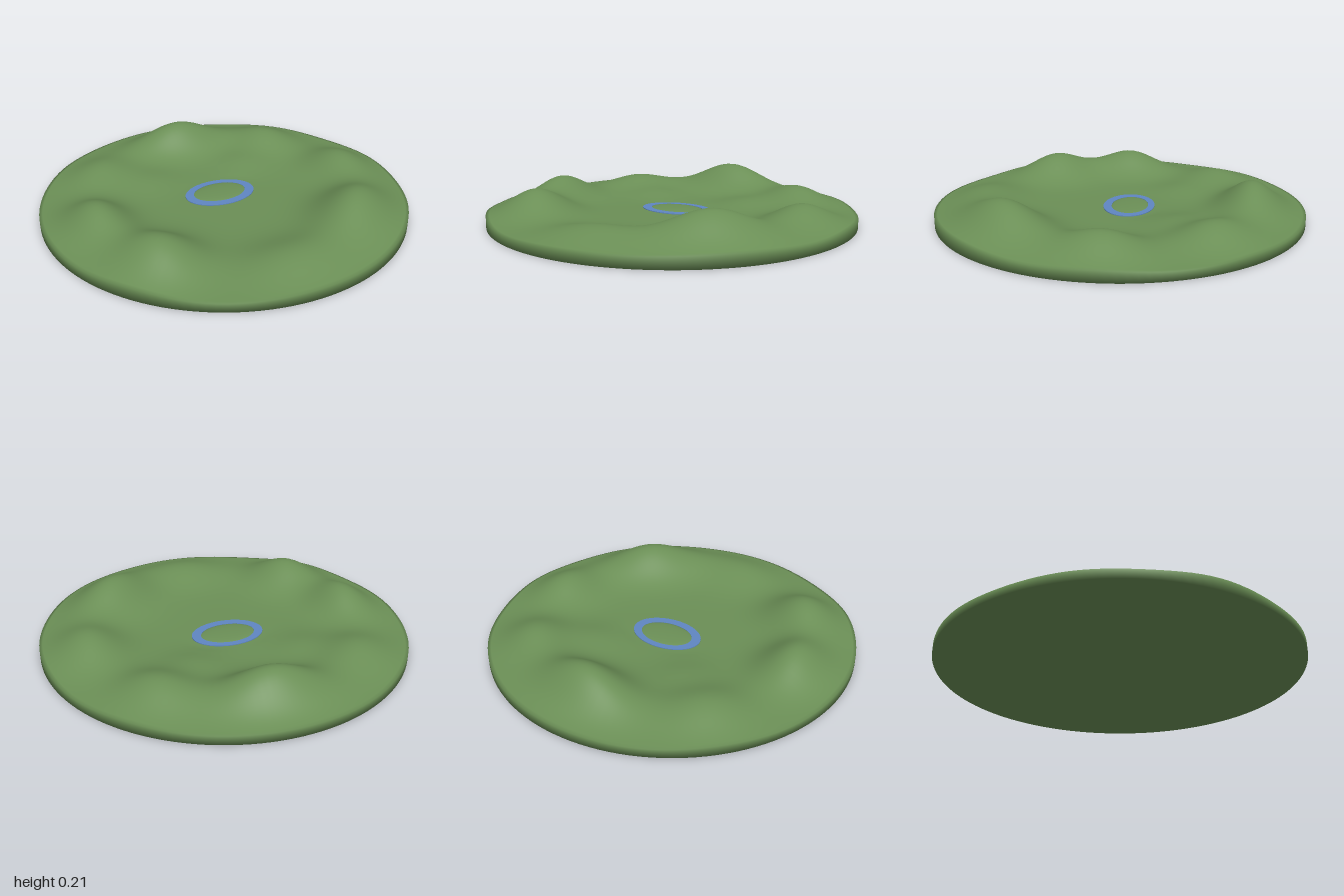
import * as THREE from 'three';

const FLOOR = 0.04;
const POND = { x: 0, z: -0.05, rx: 0.2, rz: 0.14 };

// Hills: x, z, height above the floor, radial spread, tangential spread
const HILLS = [
  [0.03, -0.71, 0.165, 0.12, 0.2],
  [0.53, -0.51, 0.1, 0.13, 0.15],
  [0.75, 0.0, 0.112, 0.13, 0.16],
  [0.5, 0.52, 0.162, 0.14, 0.21],
  [0.0, 0.75, 0.073, 0.14, 0.2],
  [-0.57, 0.46, 0.142, 0.14, 0.16],
  [-0.73, 0.02, 0.135, 0.12, 0.16],
  [-0.53, -0.52, 0.08, 0.13, 0.16],
  [0.28, -0.32, 0.028, 0.1, 0.12],
  [-0.3, -0.33, 0.024, 0.1, 0.12],
];

function groundHeight(x, z) {
  let h = 0;
  for (const [hx, hz, height, sr, st] of HILLS) {
    const d = Math.hypot(hx, hz);
    const radial = ((x - hx) * hx + (z - hz) * hz) / d;
    const tangent = ((x - hx) * hz - (z - hz) * hx) / d;
    h += height * Math.exp(-0.5 * ((radial / sr) ** 2 + (tangent / st) ** 2));
  }
  // Level the ground around the pond
  const e = Math.hypot((x - POND.x) / POND.rx, (z - POND.z) / POND.rz);
  return FLOOR + h * THREE.MathUtils.smoothstep(e, 0.95, 1.5);
}

// Closed disc: polar rings over the top, down the rim and across the base
function terrainGeometry(rings = 56, sides = 128) {
  const positions = [];
  const index = [];
  for (let i = 0; i <= rings + 2; i++) {
    const r = i <= rings ? i / rings : i === rings + 1 ? 1 : 0;
    for (let j = 0; j < sides; j++) {
      const a = (j / sides) * Math.PI * 2;
      const x = r * Math.sin(a);
      const z = r * Math.cos(a);
      positions.push(x, i <= rings ? groundHeight(x, z) : 0, z);
      if (i === rings + 2) continue;
      const k = (j + 1) % sides;
      const p = i * sides;
      const q = p + sides;
      if (i < rings + 1) index.push(p + j, q + j, q + k);
      if (i > 0) index.push(p + j, q + k, p + k);
    }
  }
  const geometry = new THREE.BufferGeometry();
  geometry.setAttribute('position', new THREE.Float32BufferAttribute(positions, 3));
  geometry.setIndex(index);
  geometry.computeVertexNormals();
  return geometry;
}

export function createModel() {
  const grass = new THREE.MeshStandardMaterial({ color: 0x6b8f56 });
  grass.name = 'grass green';
  const water = new THREE.MeshStandardMaterial({ color: 0x5f86c2 });
  water.name = 'water blue';
  const group = new THREE.Group();
  group.name = 'hillyIsland';

  const add = (name, geometry, material) => {
    const mesh = new THREE.Mesh(geometry, material);
    mesh.name = name;
    group.add(mesh);
    return mesh;
  };

  add('terrain', terrainGeometry(), grass);

  // Thin oval ring of water
  const shape = new THREE.Shape().absellipse(0, 0, POND.rx, POND.rz, 0, Math.PI * 2);
  const hole = new THREE.Path().absellipse(0, 0.005, 0.15, 0.1, 0, Math.PI * 2, true);
  shape.holes.push(hole);
  const ring = new THREE.ExtrudeGeometry(shape, { depth: 0.004, bevelEnabled: false, curveSegments: 48 });
  ring.rotateX(-Math.PI / 2);
  add('waterRing', ring, water).position.set(POND.x, FLOOR, POND.z);

  // Low grassy mound inside the ring
  const mound = new THREE.SphereGeometry(1, 48, 10, 0, Math.PI * 2, 0, Math.PI / 2);
  mound.scale(0.155, 0.012, 0.102);
  add('mound', mound, grass).position.set(POND.x, FLOOR, POND.z - 0.005);

  return group;
}
